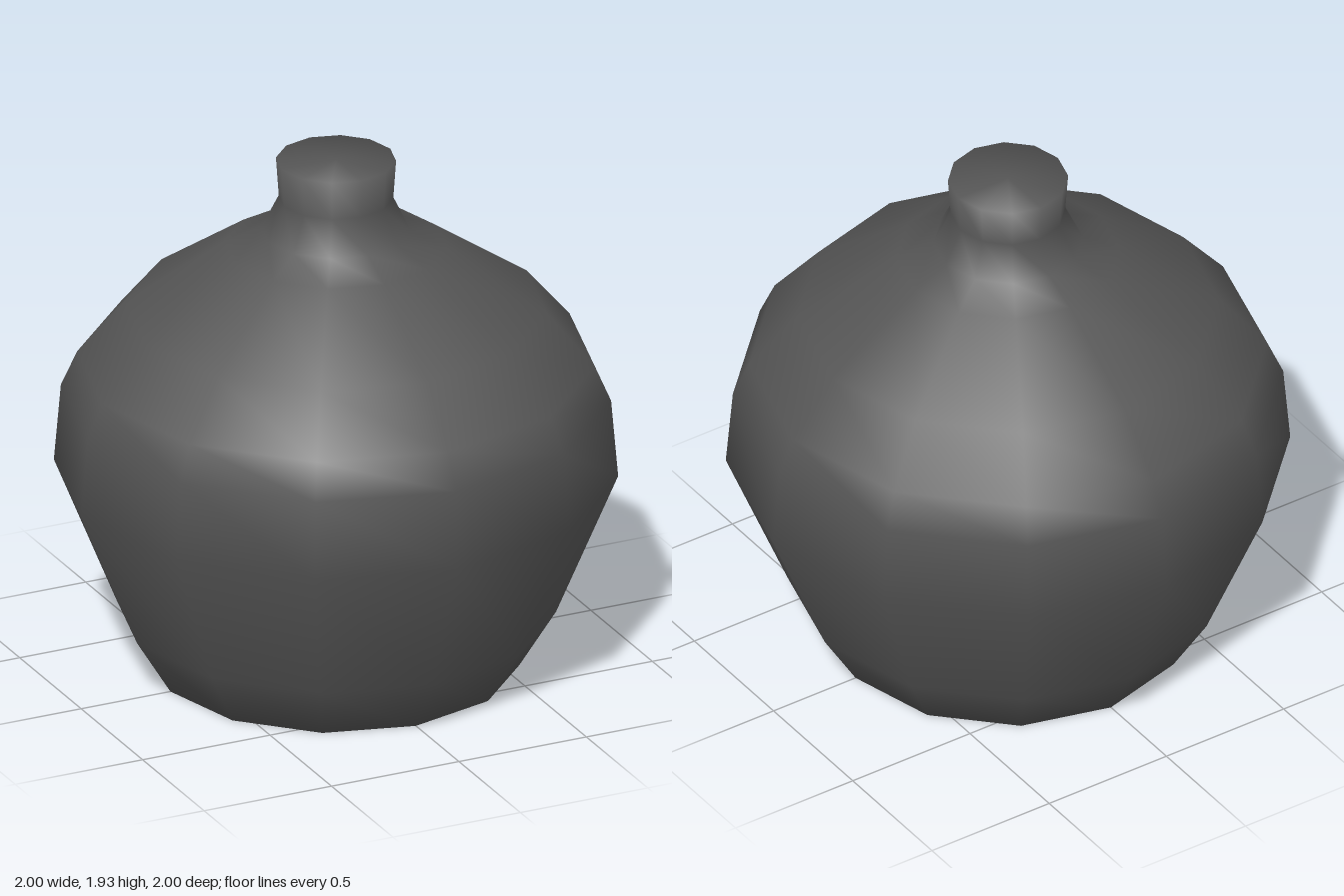
import * as THREE from 'three';

export function createModel() {
  const model = new THREE.Group();
  model.name = 'bottle';

  // Closed profile (radius, height) from base centre to top centre
  const profile = [
    [0, 0], [0.65, 0], [0.78, 0.21], // base
    [1, 0.74], [0.975, 1.03], [0.917, 1.16], // belly
    [0.747, 1.36], [0.395, 1.6], [0.265, 1.66], // shoulder
    [0.203, 1.785], [0.213, 1.93], [0, 1.93], // neck and top
  ].map(([r, y]) => new THREE.Vector2(r, y));

  // Twelve-sided smooth body
  const body = new THREE.Mesh(
    new THREE.LatheGeometry(profile, 12),
    new THREE.MeshStandardMaterial({ color: 0x555555 })
  );
  body.name = 'bottleBody';
  model.add(body);

  return model;
}
